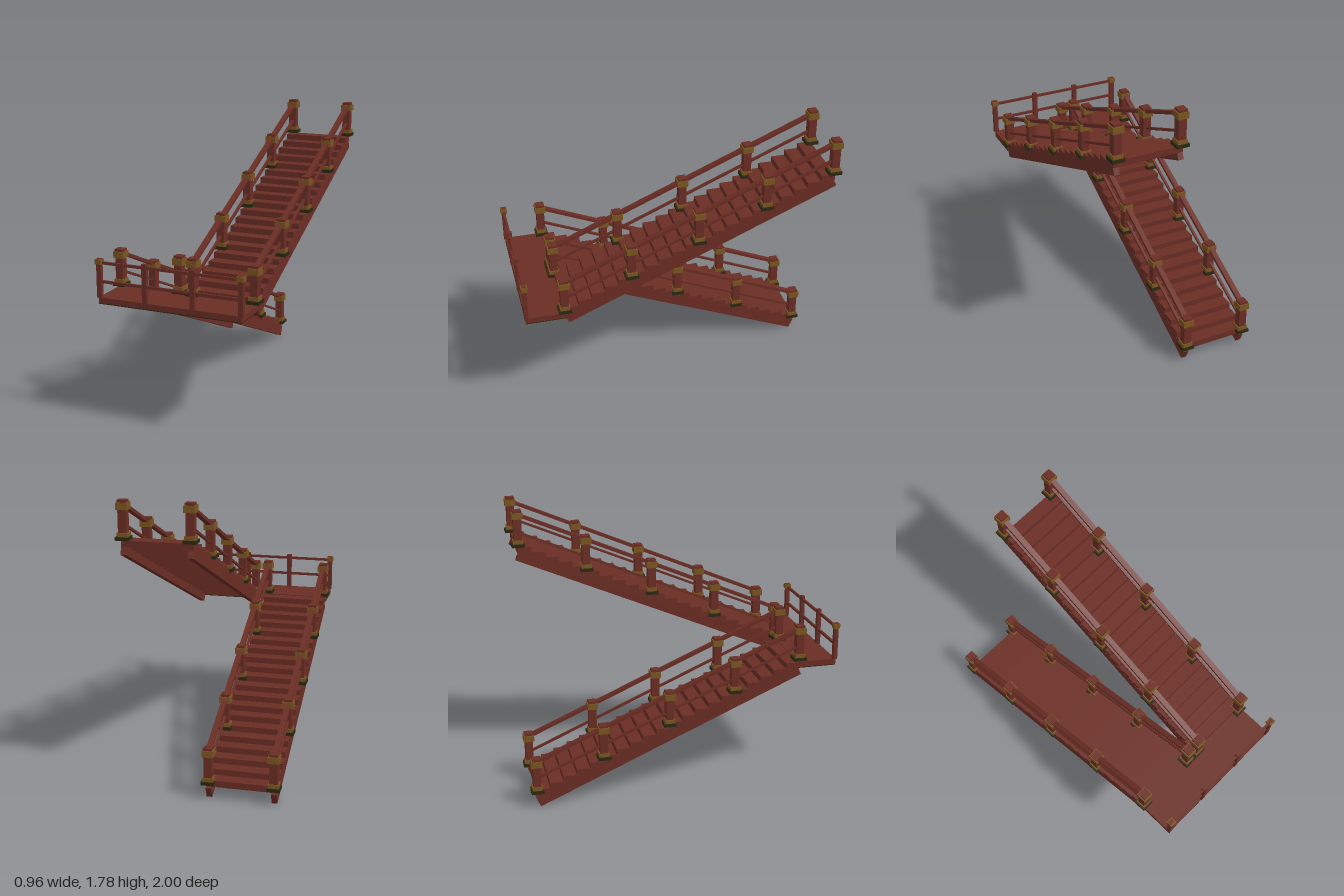
import * as THREE from 'three';

const wood = new THREE.MeshStandardMaterial({ color: 0x6a2d24 });
wood.name = 'red wood';
const brass = new THREE.MeshStandardMaterial({ color: 0x7a5520 });
brass.name = 'dull brass';
const olive = new THREE.MeshStandardMaterial({ color: 0x2a2812 });
olive.name = 'dark olive';

const STEPS = 20, Z_LOW = -0.96, Z_HIGH = 0.74, RUN = (Z_HIGH - Z_LOW) / STEPS, RISE = 0.0365;
const POSTS = 5, POST_GAP = 0.424, POST_RISE = 0.1825;

// Box given by its centre and size
function box(parent, name, mat, [x, y, z], [w, h, d]) {
  const mesh = new THREE.Mesh(new THREE.BoxGeometry(w, h, d), mat);
  mesh.name = name;
  mesh.position.set(x, y, z);
  parent.add(mesh);
  return mesh;
}

// Beam running in the z-y plane between two points
function beam(parent, name, x, [z0, y0], [z1, y1], w, h) {
  const mesh = box(parent, name, wood, [x, (y0 + y1) / 2, (z0 + z1) / 2],
    [w, h, Math.hypot(z1 - z0, y1 - y0)]);
  mesh.rotation.x = -Math.atan2(y1 - y0, z1 - z0);
  return mesh;
}

// Newel post with stepped plinth and brass collar, y is the underside
function newelPost(parent, x, y, z) {
  const post = new THREE.Group();
  post.name = 'newelPost';
  post.position.set(x, y, z);
  box(post, 'plinth', olive, [0, 0.01, 0], [0.08, 0.02, 0.08]);
  box(post, 'baseCollar', brass, [0, 0.031, 0], [0.064, 0.024, 0.064]);
  box(post, 'shaft', wood, [0, 0.11, 0], [0.05, 0.19, 0.05]);
  box(post, 'capCollar', brass, [0, 0.196, 0], [0.068, 0.04, 0.068]);
  box(post, 'capTip', wood, [0, 0.223, 0], [0.054, 0.016, 0.054]);
  parent.add(post);
}

// One straight flight climbing from zStart in direction dir
function flight(name, xCentre, zStart, dir, firstTop, postBase) {
  const group = new THREE.Group();
  group.name = name;
  const zEnd = zStart + dir * RUN * STEPS;
  for (let i = 0; i < STEPS; i++) {
    box(group, 'step', wood,
      [xCentre, firstTop - 0.02 + i * RISE, zStart + dir * (i + 0.5) * RUN],
      [0.43, 0.04, RUN + 0.002]);
  }
  for (const side of [-1, 1]) {
    const x = xCentre + side * 0.1985;
    // Sloping stringer under the steps
    const y0 = firstTop - 0.084, y1 = y0 + RISE * STEPS;
    beam(group, 'stringer', x, [zStart + dir * 0.007, y0], [zEnd, y1], 0.034, 0.072);
    // Posts and two sloping rails
    for (let i = 0; i < POSTS; i++) {
      newelPost(group, x, postBase + i * POST_RISE, zStart + dir * (dir > 0 ? 0.005 : 0) + dir * i * POST_GAP);
    }
    const a = zStart + dir * 0.005, b = a + dir * POST_GAP * 4, up = POST_RISE * 4;
    beam(group, 'handrail', x, [a, postBase + 0.205], [b, postBase + 0.205 + up], 0.034, 0.02);
    beam(group, 'middleRail', x, [a, postBase + 0.093], [b, postBase + 0.093 + up], 0.016, 0.014);
  }
  return group;
}

// Landing with its front railing
function landing() {
  const group = new THREE.Group();
  group.name = 'landing';
  const zMid = 0.86, depth = 0.25;
  box(group, 'deck', wood, [0, 0.803, zMid], [0.924, 0.036, depth]);
  box(group, 'deckUnderside', olive, [0, 0.783, zMid], [0.924, 0.005, depth]);
  for (const x of [-0.455, -0.155, 0.152, 0.455]) {
    box(group, 'railingPost', wood, [x, 0.94, 0.98], [0.03, 0.24, 0.026]);
    if (Math.abs(x) > 0.4) box(group, 'railingCap', brass, [x, 1.043, 0.98], [0.042, 0.03, 0.04]);
  }
  for (const y of [1.036, 0.92]) {
    box(group, 'railingBar', wood, [0, y, 0.98], [0.91, 0.016, 0.014]);
  }
  return group;
}

export function createModel() {
  const model = new THREE.Group();
  model.name = 'switchbackStaircase';
  model.add(flight('lowerFlight', -0.244, Z_LOW, 1, 0.123, 0.102));
  model.add(flight('upperFlight', 0.242, Z_HIGH, -1, 0.858, 0.826));
  model.add(landing());
  return model;
}
